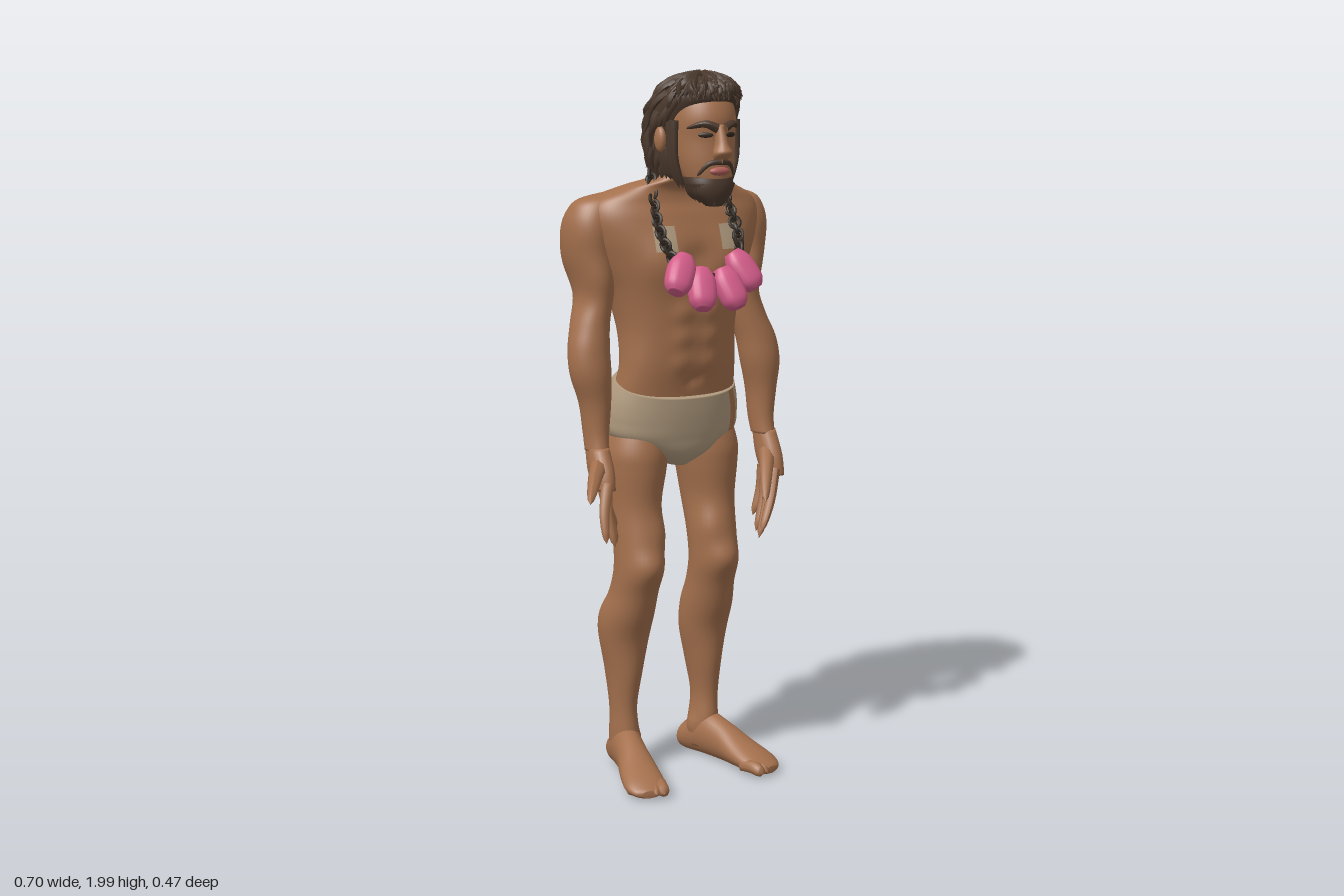
import * as THREE from 'three';
import { mergeGeometries } from 'three/addons/utils/BufferGeometryUtils.js';

const V = (p) => new THREE.Vector3(...p);
const mat = (name, color) => Object.assign(new THREE.MeshStandardMaterial({ color }), { name });

// Smoothly interpolated cross-section [x, y, z, rx, rz] at row position t
function sample(rows, t) {
  const n = rows.length - 1, i = Math.min(Math.floor(t), n - 1), f = t - i;
  const R = (k) => rows[Math.max(0, Math.min(n, k))];
  return rows[i].map((b, k) => {
    const a = R(i - 1)[k], c = R(i + 1)[k], d = R(i + 2)[k];
    return b + 0.5 * f * (c - a + f * (2 * a - 5 * b + 4 * c - d + f * (3 * (b - c) + d - a)));
  });
}

// Point on a lofted body; bumps are [x, y, z, radius, amount] muscles or grooves
function surface(rows, bumps = [], power = 1) {
  return (t, a, off = 0) => {
    const [x, y, z, rx, rz] = sample(rows, t);
    const bend = (c) => Math.sign(c) * Math.abs(c) ** power;
    const d = new THREE.Vector3(rx * bend(Math.cos(a)), 0, rz * bend(Math.sin(a)));
    const p = new THREE.Vector3(x, y, z).add(d);
    let push = off;
    for (const [bx, by, bz, r, amt] of bumps) {
      push += amt * Math.exp(-((p.x - bx) ** 2 + (p.y - by) ** 2 + (p.z - bz) ** 2) / (r * r));
    }
    return p.addScaledVector(d.normalize(), push);
  };
}

// Closed loft through horizontal rings, listed from bottom to top
function loft(rows, { bumps, power, seg = 40, sub = 5 } = {}) {
  const at = surface(rows, bumps, power), pos = [], idx = [];
  const last = (rows.length - 1) * sub;
  for (let i = -1; i <= last + 1; i++) {
    const t = Math.max(0, Math.min(last, i)) / sub, cap = i < 0 || i > last;
    for (let j = 0; j < seg; j++) {
      const p = cap ? V(sample(rows, t).slice(0, 3)) : at(t, (j / seg) * Math.PI * 2);
      pos.push(p.x, p.y, p.z);
    }
  }
  for (let i = 0; i < last + 2; i++) for (let j = 0; j < seg; j++) {
    const a = i * seg + j, b = i * seg + (j + 1) % seg;
    idx.push(a, a + seg, b, b, a + seg, b + seg);
  }
  const g = new THREE.BufferGeometry();
  g.setAttribute('position', new THREE.Float32BufferAttribute(pos, 3));
  g.setIndex(idx);
  g.computeVertexNormals();
  return g;
}

// Thin painted patch lying just above a lofted surface
function patch(at, t0, t1, a0, a1) {
  const g = new THREE.PlaneGeometry(1, 1, 8, 8), p = g.attributes.position;
  for (let i = 0; i < p.count; i++) {
    const q = at(t0 + (p.getY(i) + 0.5) * (t1 - t0), a1 - (p.getX(i) + 0.5) * (a1 - a0), 0.004);
    p.setXYZ(i, q.x, q.y, q.z);
  }
  g.computeVertexNormals();
  return g;
}

// Tube along points whose radius runs from r0 to r1 and closes at the tip
function tapered(points, r0, r1, seg = 8, steps = 10) {
  const curve = new THREE.CatmullRomCurve3(points.map(V));
  const g = new THREE.TubeGeometry(curve, steps, 1, seg), p = g.attributes.position, v = new THREE.Vector3();
  for (let i = 0; i <= steps; i++) {
    const t = i / steps, c = curve.getPointAt(t), r = (r0 + (r1 - r0) * t) * Math.sqrt(1 - t ** 8);
    for (let j = 0; j <= seg; j++) {
      const k = i * (seg + 1) + j;
      v.fromBufferAttribute(p, k).sub(c).multiplyScalar(r).add(c);
      p.setXYZ(k, v.x, v.y, v.z);
    }
  }
  g.computeVertexNormals();
  return g;
}

export function createModel() {
  const root = new THREE.Group();
  const skin = mat('skin', 0xa4704d), cloth = mat('cloth', 0xb09a7e), hair = mat('hair', 0x4b392d);
  const cord = mat('cord', 0x30271f), pink = mat('pink', 0xd45d8a), lip = mat('lip', 0xb05f5a), hide = mat('hide', 0x5c4030);
  const add = (name, geo, m, parent = root) => {
    const mesh = new THREE.Mesh(geo, m);
    mesh.name = name;
    parent.add(mesh);
    return mesh;
  };
  const ball = (name, p, s, m) => {
    const b = add(name, new THREE.SphereGeometry(1, 20, 14), m);
    b.position.set(...p);
    b.scale.set(...s);
    return b;
  };
  let seed = 7;
  const rnd = () => (seed = (seed * 16807) % 2147483647) / 2147483647;
  const both = (list) => list.flatMap(([x, ...r]) => [[x, ...r], [-x, ...r]]);

  // Torso with chest, shoulder blades, stomach muscles and spine groove
  const torso = [
    [0, 1.02, -0.06, 0.165, 0.1], [0, 1.11, -0.056, 0.178, 0.107], [0, 1.2, -0.032, 0.17, 0.1],
    [0, 1.3, -0.04, 0.17, 0.118], [0, 1.4, -0.055, 0.192, 0.14], [0, 1.48, -0.066, 0.224, 0.149],
    [0, 1.55, -0.07, 0.25, 0.148], [0, 1.61, -0.073, 0.262, 0.137], [0, 1.655, -0.065, 0.24, 0.115],
    [0, 1.69, -0.03, 0.165, 0.085], [0, 1.72, 0.015, 0.085, 0.075], [0, 1.78, 0.05, 0.06, 0.065]];
  const muscles = [
    ...both([[0.09, 1.49, 0.08, 0.07, 0.022], [0.12, 1.54, -0.2, 0.06, 0.022], [0.1, 1.4, -0.19, 0.05, 0.014]]),
    ...both([1.35, 1.28, 1.21].map((y) => [0.04, y, 0.08, 0.03, 0.01])),
    ...[1.25, 1.33, 1.41, 1.49, 1.57].map((y) => [0, y, -0.19, 0.04, -0.016]),
    [0, 1.5, 0.09, 0.035, -0.012], [0, 1.16, 0.06, 0.015, -0.01]];
  add('torso', loft(torso, { bumps: muscles, power: 0.82, seg: 72, sub: 8 }), skin);

  // Pale patches painted on the chest
  const chest = surface(torso, muscles, 0.82);
  add('chestPatch', patch(chest, 5.55, 6.6, 1.14, 1.38), cloth);
  add('chestPatch', patch(chest, 5.55, 6.6, Math.PI - 1.38, Math.PI - 1.14), cloth);

  // Briefs with seat, cut lower at the front than at the back, and a bare strip at the left hip
  const briefs = [
    [0, 0.91, -0.06, 0.03, 0.06], [0, 0.95, -0.068, 0.115, 0.105], [0, 1.0, -0.076, 0.192, 0.124],
    [0, 1.05, -0.08, 0.204, 0.135], [0, 1.1, -0.07, 0.198, 0.13], [0, 1.15, -0.047, 0.181, 0.11]];
  const seat = [...both([[0.085, 1.03, -0.2, 0.08, 0.034]]),
    ...[0.95, 1.0, 1.05, 1.1].map((y) => [0, y, -0.2, 0.03, -0.014])];
  const slope = (g) => {
    const p = g.attributes.position;
    for (let i = 0; i < p.count; i++) {
      const rise = Math.max(0, (p.getY(i) - 0.97) / 0.18);
      p.setY(i, p.getY(i) - rise * (p.getZ(i) + 0.06) * 0.32);
    }
    g.computeVertexNormals();
    return g;
  };
  add('briefs', slope(loft(briefs, { bumps: seat, power: 0.9, seg: 64, sub: 6 })), cloth);
  add('hipStrip', slope(patch(surface(briefs, seat, 0.9), 2.1, 5, 0.72, 0.9)), skin);

  for (const s of [1, -1]) {
    const side = (list) => list.map(([x, ...r]) => [s * x, ...r]);
    // Legs
    const leg = side([
      [0.13, 0.04, -0.115, 0.04, 0.06], [0.132, 0.12, -0.11, 0.04, 0.054], [0.135, 0.2, -0.11, 0.037, 0.05],
      [0.132, 0.3, -0.112, 0.05, 0.066], [0.13, 0.4, -0.11, 0.068, 0.076], [0.129, 0.48, -0.088, 0.072, 0.084],
      [0.125, 0.55, -0.06, 0.066, 0.08], [0.122, 0.62, -0.037, 0.066, 0.084], [0.12, 0.7, -0.045, 0.068, 0.081],
      [0.12, 0.8, -0.068, 0.073, 0.09], [0.116, 0.9, -0.07, 0.086, 0.1], [0.113, 0.96, -0.07, 0.09, 0.1],
      [0.1, 1.04, -0.07, 0.08, 0.08]]);
    const legBumps = side([[0.12, 0.64, 0.04, 0.04, 0.012], [0.18, 0.46, -0.14, 0.06, 0.008],
      [0.08, 0.73, 0.02, 0.05, 0.01], [0.085, 0.1, -0.11, 0.025, 0.012]]);
    add('leg', loft(leg, { bumps: legBumps }), skin);

    // Foot, turned outward, with toes
    const foot = new THREE.Group();
    foot.name = 'foot';
    foot.position.set(s * 0.13, 0, -0.11);
    foot.rotation.y = s * 0.25;
    root.add(foot);
    add('footBody', loft([
      [0, -0.08, -0.045, 0.028, 0.026], [0, -0.055, -0.055, 0.043, 0.045], [0, 0.02, -0.075, 0.045, 0.065],
      [0, 0.09, -0.068, 0.046, 0.058], [0, 0.17, -0.05, 0.056, 0.04], [0, 0.235, -0.037, 0.058, 0.027],
      [0, 0.27, -0.03, 0.042, 0.016], [0, 0.282, -0.028, 0.02, 0.01]], { seg: 28 }).rotateX(Math.PI / 2), skin, foot);
    for (let i = 0; i < 5; i++) {
      const x = s * (-0.042 + i * 0.021), r = i ? 0.015 : 0.02, z = 0.277 - i * i * 0.0022;
      add('toe', tapered([[x, 0.035, 0.21], [x, 0.036, z - 0.02], [x, 0.026, z + 0.012]], r, r * 0.9), skin, foot);
    }

    // Torn hide flap on the calf
    const flap = add('calfFlap', new THREE.BoxGeometry(0.045, 0.09, 0.012), hide);
    flap.position.set(s > 0 ? 0.17 : -0.085, 0.33, -0.175);
    flap.rotation.set(0.15, s > 0 ? -0.5 : 0.7, 0.15);

    // Arms; the left one swings slightly wider
    const w = s > 0 ? 0.045 : 0;
    const arm = side([
      [0.247 + w, 0.97, -0.045, 0.031, 0.043], [0.245 + w, 1.02, -0.055, 0.034, 0.046],
      [0.246 + w, 1.1, -0.058, 0.043, 0.052], [0.259 + w * 0.6, 1.18, -0.056, 0.057, 0.058],
      [0.261 + w * 0.3, 1.25, -0.062, 0.058, 0.058], [0.25, 1.32, -0.075, 0.053, 0.062],
      [0.232, 1.4, -0.09, 0.05, 0.073], [0.243, 1.5, -0.1, 0.064, 0.086], [0.244, 1.57, -0.098, 0.069, 0.088],
      [0.232, 1.62, -0.092, 0.07, 0.076], [0.205, 1.655, -0.085, 0.068, 0.056], [0.165, 1.675, -0.075, 0.03, 0.02]]);
    const armBumps = side([[0.24, 1.44, -0.02, 0.05, 0.01], [0.25, 1.47, -0.18, 0.06, 0.01]]);
    add('arm', loft(arm, { bumps: armBumps }), skin);

    // Ear
    ball('ear', [s * 0.113, 1.82, 0.075], [0.014, 0.034, 0.022], skin);
  }

  // Hands: a palm, four fingers and a thumb each
  const hand = (name, wrist, palm, tips, thumb) => {
    const g = new THREE.Group();
    g.name = name;
    root.add(g);
    add('palm', loft([
      [...palm, 0.028, 0.044], [...wrist.map((v, i) => v * 0.45 + palm[i] * 0.55), 0.032, 0.053],
      [...wrist, 0.03, 0.042]], { seg: 24 }), skin, g);
    tips.forEach((tip, i) => {
      const base = [palm[0] + (tip[0] - palm[0]) * 0.2, palm[1] + 0.02, palm[2] + 0.036 - i * 0.024];
      const mid = base.map((v, k) => (v + tip[k]) / 2 + (k === 0 ? Math.sign(palm[0]) * 0.008 : 0));
      add('finger', tapered([base, mid, tip], 0.018, 0.011), skin, g);
    });
    const heel = wrist.map((v, k) => v * 0.6 + palm[k] * 0.4);
    add('thumb', tapered([heel, heel.map((v, k) => (v + thumb[k]) / 2 + (k === 1 ? 0.012 : 0)), thumb], 0.027, 0.011), skin, g);
  };
  hand('leftHand', [0.295, 0.98, -0.045], [0.298, 0.855, 0.0],
    [[0.205, 0.71, 0.09], [0.215, 0.685, 0.06], [0.23, 0.695, 0.02], [0.25, 0.73, -0.03]], [0.205, 0.8, 0.11]);
  hand('rightHand', [-0.247, 0.98, -0.045], [-0.252, 0.87, 0.005],
    [[-0.295, 0.74, 0.1], [-0.255, 0.72, 0.075], [-0.225, 0.72, 0.03], [-0.2, 0.75, -0.02]], [-0.355, 0.86, 0.12]);

  // Head and face
  add('head', loft([
    [0, 1.67, 0.14, 0.04, 0.04], [0, 1.71, 0.132, 0.062, 0.063], [0, 1.76, 0.118, 0.078, 0.08],
    [0, 1.82, 0.105, 0.085, 0.09], [0, 1.88, 0.1, 0.088, 0.1], [0, 1.94, 0.09, 0.075, 0.085],
    [0, 1.97, 0.08, 0.04, 0.05]]), skin);
  add('nose', loft([
    [0, 1.77, 0.2, 0.021, 0.016], [0, 1.787, 0.21, 0.026, 0.027], [0, 1.81, 0.202, 0.017, 0.024],
    [0, 1.86, 0.19, 0.011, 0.016]], { seg: 20 }), skin);
  ball('mouth', [0, 1.738, 0.194], [0.03, 0.012, 0.014], lip);
  add('beard', loft([
    [0, 1.645, 0.165, 0.022, 0.022], [0, 1.675, 0.152, 0.055, 0.046], [0, 1.7, 0.138, 0.067, 0.062],
    [0, 1.722, 0.122, 0.071, 0.073]]), hair);
  const whiskers = [];
  for (const s of [1, -1]) {
    whiskers.push(tapered([[0, 1.763, 0.201], [s * 0.03, 1.758, 0.192], [s * 0.056, 1.725, 0.17]], 0.008, 0.005));
    whiskers.push(tapered([[s * 0.01, 1.85, 0.2], [s * 0.04, 1.862, 0.19], [s * 0.078, 1.85, 0.15]], 0.013, 0.005));
    // Side hair hanging between ear and jaw
    for (let i = 0; i < 6; i++) {
      const z = 0.03 + i * 0.017, low = i > 3 ? 1.68 : 1.7;
      whiskers.push(tapered([[s * 0.095, i > 1 && i < 4 ? 1.8 : 1.87, z], [s * 0.094, 1.77, z + 0.004],
        [s * (0.085 - i * 0.003), low + rnd() * 0.015, z + 0.01]], 0.015, 0.009, 6, 8));
    }
    const eye = ball('eye', [s * 0.038, 1.833, 0.186], [0.02, 0.007, 0.004], cord);
    eye.rotation.y = s * 0.45;
  }
  for (let i = 0; i < 18; i++) {
    const a = Math.PI * (i + 0.5) / 18, x = Math.cos(a) * 0.065, z = 0.132 + Math.sin(a) * 0.056;
    whiskers.push(tapered([[x, 1.705, z], [x * 0.9, 1.68, z], [x * 0.6, 1.64 + rnd() * 0.02, z]], 0.011, 0.002, 6, 8));
  }
  add('beardLocks', mergeGeometries(whiskers), hair);

  // Hair cap covered in tangled locks
  const cap = [
    [0, 1.7, 0.0, 0.082, 0.04], [0, 1.76, 0.01, 0.1, 0.07], [0, 1.82, 0.02, 0.109, 0.083],
    [0, 1.88, 0.045, 0.112, 0.108], [0, 1.93, 0.072, 0.104, 0.12], [0, 1.965, 0.085, 0.078, 0.092],
    [0, 1.983, 0.095, 0.04, 0.048], [0, 1.99, 0.1, 0.006, 0.006]];
  add('hairCap', loft(cap), hair);
  const scalp = surface(cap), locks = [];
  for (let i = 0; i < 190; i++) {
    const a = rnd() * Math.PI * 2, front = Math.sin(a) > 0.5;
    const t0 = front ? 4.6 + rnd() * 2.3 : 1.3 + rnd() * 5.6;
    const t1 = front ? 3.75 + rnd() * 0.6 : Math.max(0, t0 - 1.5 - rnd());
    const turn = (rnd() - 0.5) * 0.7;
    const pts = [0, 0.35, 0.7, 1].map((f, k) =>
      scalp(t0 + (t1 - t0) * f, a + turn * f, [-0.004, 0.008, 0.003, 0.012][k] + rnd() * 0.006).toArray());
    if (!front && t1 < 0.1) pts[3][1] -= 0.01 + rnd() * 0.02;
    locks.push(tapered(pts, 0.012, 0.003, 5, 8));
  }
  add('hairLocks', mergeGeometries(locks), hair);

  // Necklace: linked cord and pink chunks
  const strand = new THREE.CatmullRomCurve3([
    [-0.1, 1.49, 0.135], [-0.118, 1.56, 0.095], [-0.115, 1.64, 0.045], [-0.095, 1.73, 0], [0, 1.76, -0.04],
    [0.095, 1.73, 0], [0.115, 1.64, 0.045], [0.118, 1.56, 0.095], [0.1, 1.49, 0.135]].map(V));
  const links = [];
  for (let i = 0; i <= 40; i++) {
    const d = strand.getTangentAt(i / 40), p = strand.getPointAt(i / 40);
    const q = new THREE.Quaternion().setFromUnitVectors(new THREE.Vector3(0, 1, 0), d);
    links.push(new THREE.TorusGeometry(0.014, 0.005, 6, 12).scale(1, 1.2, 1)
      .rotateY((i % 2) * Math.PI / 2 + 0.5).applyQuaternion(q).translate(p.x, p.y, p.z));
  }
  add('necklaceCord', mergeGeometries(links), cord);
  add('necklaceThread', tapered([[-0.1, 1.49, 0.13], [-0.04, 1.46, 0.15], [0.04, 1.46, 0.15], [0.1, 1.49, 0.13]], 0.007, 0.007), cord);
  for (const [x, y, z, tilt] of [[-0.095, 1.468, 0.152, -0.5], [-0.04, 1.428, 0.172, -0.2], [0.045, 1.425, 0.172, 0.2], [0.1, 1.468, 0.152, 0.4]]) {
    const chunk = add('necklaceChunk', loft([
      [0, -0.062, 0, 0.02, 0.018], [0, -0.038, 0, 0.036, 0.03], [0, 0.02, 0, 0.038, 0.03],
      [0, 0.055, 0, 0.022, 0.02]], { seg: 20, power: 0.8 }), pink);
    chunk.position.set(x, y, z);
    chunk.rotation.set(-0.5, 0, tilt);
  }
  return root;
}
